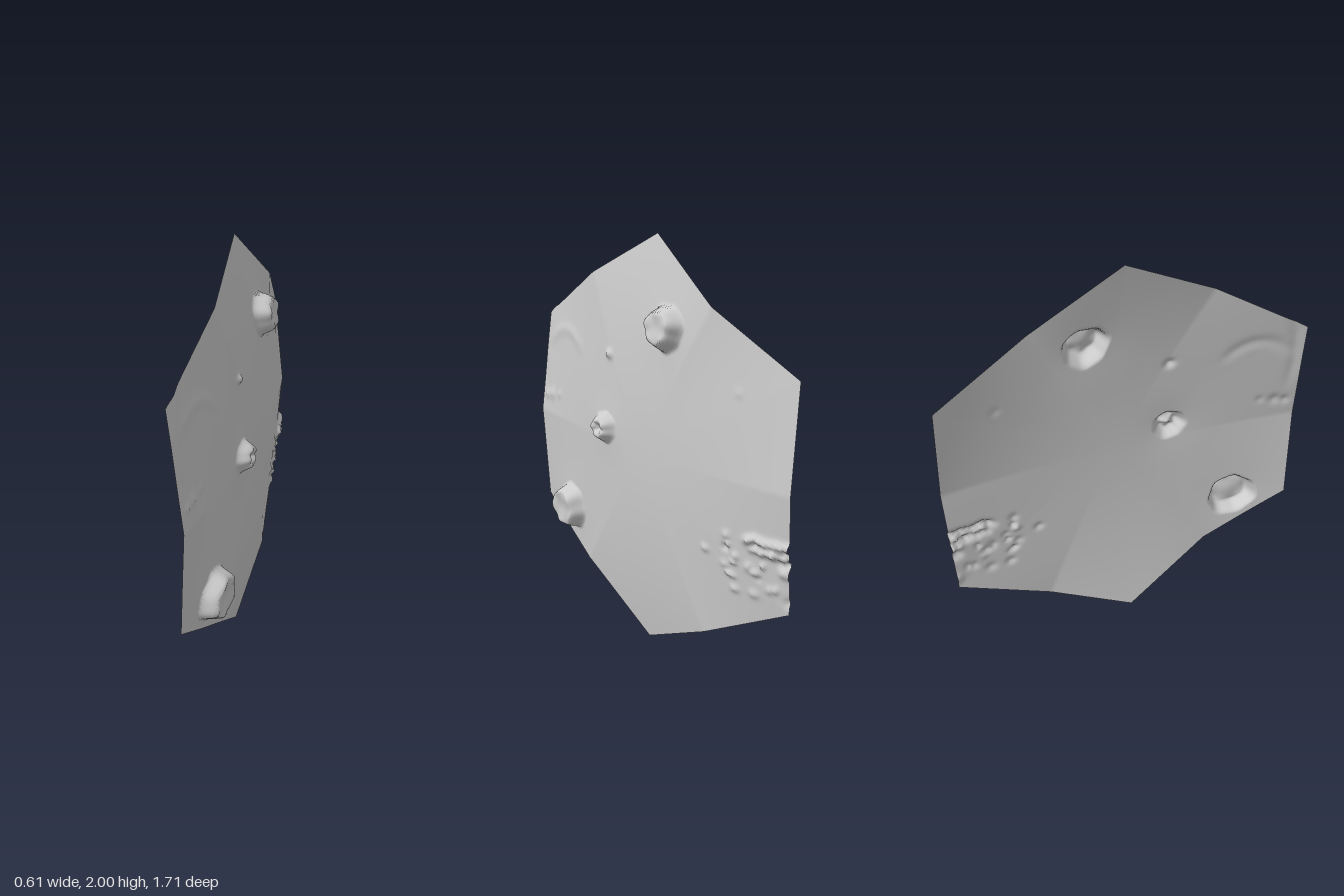
import * as THREE from 'three';

const { smoothstep } = THREE.MathUtils;

// Outline of the hexagonal sheet, as [x, y, z] corners and edge midpoints
const OUTLINE = [
  [-0.01, 2.0, -0.03], [-0.11, 1.8, 0.4], [-0.305, 1.55, 0.82], [-0.25, 1.03, 0.855],
  [-0.275, 0.54, 0.84], [-0.09, 0.3, 0.44], [-0.005, 0, 0.01], [0.16, 0.21, -0.39],
  [0.255, 0.46, -0.85], [0.3, 1.0, -0.85], [0.25, 1.47, -0.85], [0.18, 1.72, -0.41],
];

// Flat-topped mounds with a dished crown: z, y, outer radius, inner radius, height, dish depth
const MOUNDS = [
  [-0.155, 1.6, 0.105, 0.065, 0.075, 0.012],
  [0.255, 1.07, 0.085, 0.035, 0.055, 0.03],
  [0.578, 0.56, 0.122, 0.085, 0.075, 0.014],
];

// Small round pimples: z, y, radius, height
const PIMPLES = [
  [0.235, 1.43, 0.02, 0.02], [0.75, 1.13, 0.025, 0.01], [0.8, 1.12, 0.02, 0.01],
  [0.68, 1.14, 0.018, 0.006], [-0.41, 0.65, 0.018, 0.012], [-0.57, 1.38, 0.02, 0.004],
];

// Lumpy patch at the rear lower corner: two ridges of nodules and a loose scatter
function addRoughPatch(list) {
  let seed = 11;
  const rnd = () => (seed = (seed * 16807) % 2147483647) / 2147483647;
  for (let i = 0; i < 8; i++) {
    const z = -0.65 - i * 0.028;
    list.push([z, 0.768 + 0.012 * (rnd() - 0.5), 0.016, 0.022 + 0.008 * rnd()]);
    list.push([z - 0.01, 0.722 + 0.02 * (rnd() - 0.5), 0.015, 0.012 + 0.014 * rnd()]);
  }
  for (let i = 0; i < 34; i++) {
    const z = -0.85 + 0.33 * Math.pow(rnd(), 1.3);
    list.push([z, 0.5 + 0.25 * rnd(), 0.012 + 0.009 * rnd(), (rnd() < 0.3 ? -1 : 1) * (0.008 + 0.01 * rnd())]);
  }
  return list;
}

const smoothX = (y, z) => 0.095 - 0.325 * z - 0.1 * ((y - 1) ** 2 + z * z);
const gauss = (d, r) => Math.exp(-(d * d) / (r * r));

// Height of the relief above the smooth sheet
function relief(y, z, pimples) {
  let h = 0;
  MOUNDS.forEach(([cz, cy, outer, inner, height, dish], k) => {
    const d = Math.hypot(z - cz, y - cy);
    if (d > 0.4) return;
    const a = Math.atan2(y - cy, z - cz);
    const wobble = 1 + 0.04 * Math.sin(3 * a + k) + 0.025 * Math.sin(7 * a + 2 * k);
    h += height * (1 - smoothstep(d, inner * wobble, outer * wobble));
    h -= dish * gauss(d, inner * 0.7);
    h += 0.008 * gauss(d, outer * 1.5);
    h += 0.004 * Math.sin(5 * a + k) * gauss(d - inner, 0.02);
  });
  for (const [cz, cy, r, height] of pimples) {
    const d = Math.hypot(z - cz, y - cy);
    if (d < r * 3) h += height * gauss(d, r);
  }
  // shallow creases near the upper front corner
  h += 0.007 * gauss(z - 0.77 - 0.03 * Math.sin(6 * y), 0.025) * smoothstep(y, 1.15, 1.35);
  h += 0.006 * gauss(Math.hypot(z - 0.63, y - 1.34) - 0.15, 0.03) * smoothstep(y, 1.36, 1.46);
  return h;
}

function sheetGeometry() {
  const rings = 96, perEdge = 34, n = OUTLINE.length * perEdge;
  const pimples = addRoughPatch([...PIMPLES]);
  const pos = [], index = [];

  const addVertex = (y, z, edgeOffset) => {
    const normal = new THREE.Vector3(1, 0.2 * (y - 1), 0.325 + 0.2 * z).normalize();
    const p = new THREE.Vector3(smoothX(y, z) + edgeOffset, y, z);
    p.addScaledVector(normal, relief(y, z, pimples));
    pos.push(p.x, p.y, p.z);
  };

  // Rings of the outline, growing from the centre; the edge's own bend fades inwards
  addVertex(1, 0, 0);
  for (let r = 1; r <= rings; r++) {
    const s = r / rings;
    for (let i = 0; i < n; i++) {
      const e = Math.floor(i / perEdge), t = (i % perEdge) / perEdge;
      const a = OUTLINE[e], b = OUTLINE[(e + 1) % OUTLINE.length];
      const [bx, by, bz] = a.map((v, k) => v + (b[k] - v) * t);
      addVertex(1 + (by - 1) * s, bz * s, (bx - smoothX(by, bz)) * s ** 3);
    }
  }
  for (let i = 0; i < n; i++) {
    const j = (i + 1) % n;
    index.push(0, 1 + j, 1 + i);
    for (let r = 0; r < rings - 1; r++) {
      const a = 1 + r * n + i, b = 1 + r * n + j;
      index.push(a, b, b + n, a, b + n, a + n);
    }
  }

  // Keep the winding facing +x, the side the mounds rise from
  const [p, q] = [OUTLINE[0], OUTLINE[1]];
  const facesX = (p[1] - 1) * q[2] - p[2] * (q[1] - 1) < 0;
  for (let k = 0; k < index.length; k += 3) {
    const fan = index[k] === 0;
    if (fan === facesX ? false : fan) [index[k + 1], index[k + 2]] = [index[k + 2], index[k + 1]];
  }
  // ring quads must run opposite to the outline order when seen from +x
  const g = new THREE.BufferGeometry();
  g.setAttribute('position', new THREE.Float32BufferAttribute(pos, 3));
  const P = (k) => new THREE.Vector3().fromArray(pos, k * 3);
  for (let k = 0; k < index.length; k += 3) {
    const a = P(index[k]), b = P(index[k + 1]), c = P(index[k + 2]);
    const up = b.sub(a).cross(c.sub(a));
    if (up.x + 0.3 * up.z < 0) [index[k + 1], index[k + 2]] = [index[k + 2], index[k + 1]];
  }
  g.setIndex(index);
  g.computeVertexNormals();
  return g;
}

export function createModel() {
  const model = new THREE.Group();
  model.name = 'terrainPanel';
  const material = new THREE.MeshStandardMaterial({ color: 0xcccccc, side: THREE.DoubleSide });
  const sheet = new THREE.Mesh(sheetGeometry(), material);
  sheet.name = 'hexagonalSheet';
  model.add(sheet);
  return model;
}
